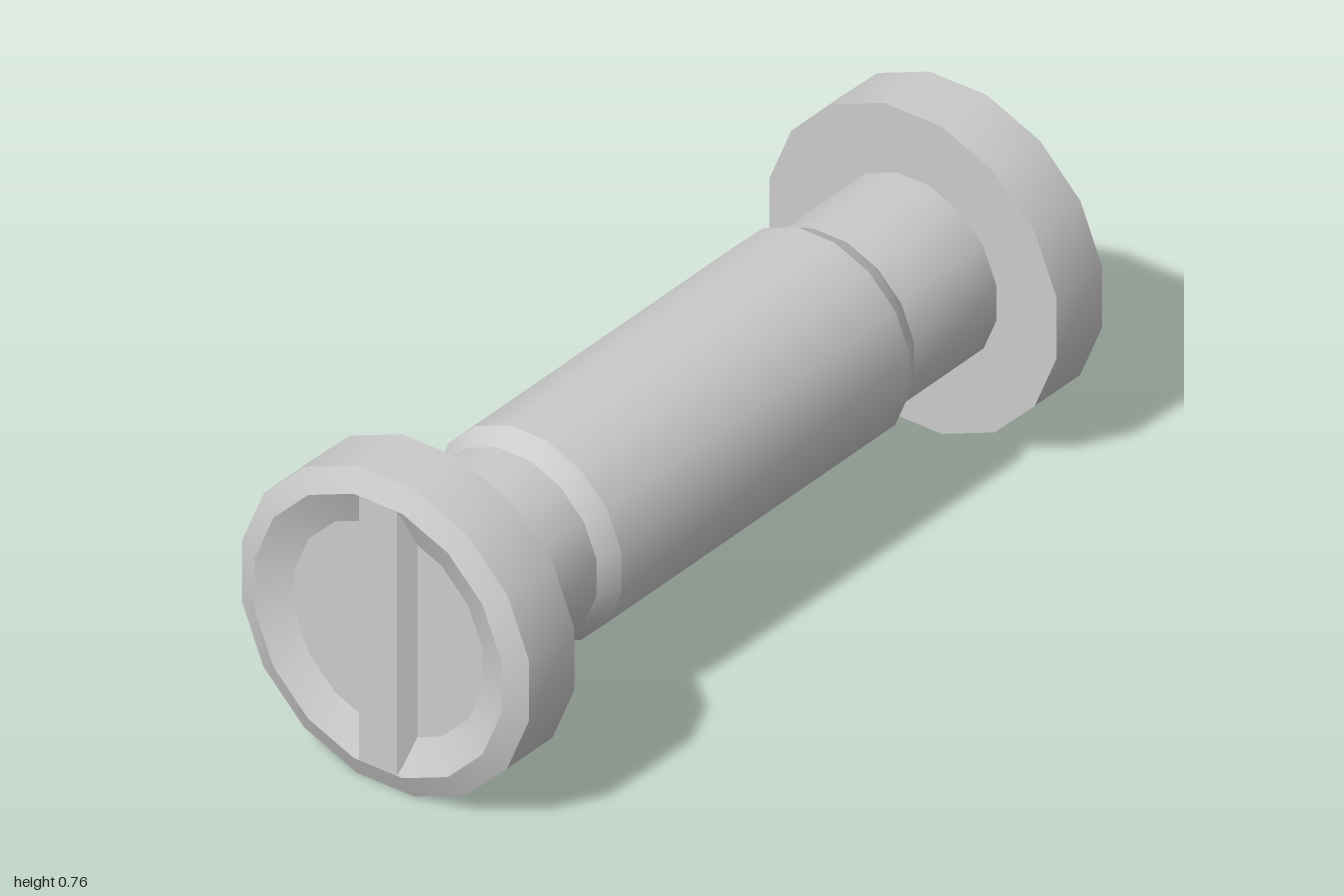
import * as THREE from 'three';
import { toCreasedNormals } from 'three/addons/utils/BufferGeometryUtils.js';

const SIDES = 16;
const FACE_X = 1;      // outer rim plane
const FLOOR_X = 0.965; // recess floor plane

// Sixteen-sided turned solid along x, flats up; profile is [radius, x] pairs
function turned(profile) {
  const points = profile.map(([r, x]) => new THREE.Vector2(r, x));
  const geometry = new THREE.LatheGeometry(points, SIDES, Math.PI / SIDES);
  geometry.rotateZ(-Math.PI / 2);
  return toCreasedNormals(geometry, 0.41);
}

// Tapered bar: narrow on the outer face, wider at the recess floor
function barGeometry() {
  const bottom = FLOOR_X - 0.01;
  const geometry = new THREE.BoxGeometry(1, 0.652, 1);
  const p = geometry.attributes.position;
  for (let i = 0; i < p.count; i++) {
    const outer = p.getX(i) > 0;
    p.setX(i, outer ? FACE_X : bottom);
    p.setZ(i, Math.sign(p.getZ(i)) * (outer ? 0.05 : 0.0847));
  }
  return toCreasedNormals(geometry, 0.41);
}

export function createModel() {
  const model = new THREE.Group();
  const material = new THREE.MeshStandardMaterial({ color: 0xcccccc });
  const add = (parent, name, geometry) => {
    const mesh = new THREE.Mesh(geometry, material);
    mesh.name = name;
    parent.add(mesh);
  };

  // Shaft with a thicker, bevelled middle
  add(model, 'shaft', turned([
    [0.225, -0.83], [0.225, -0.54], [0.2525, -0.49],
    [0.2525, 0.49], [0.225, 0.54], [0.225, 0.83],
  ]));

  // Bevelled heads with a dished face split by an upright bar
  const disc = turned([
    [0, 0.82], [0.3875, 0.82], [0.3875, 0.975],
    [0.333, FACE_X], [0.254, FLOOR_X], [0, FLOOR_X],
  ]);
  const bar = barGeometry();
  for (const [name, angle] of [['leftHead', 0], ['rightHead', Math.PI]]) {
    const head = new THREE.Group();
    head.name = name;
    head.rotation.y = angle;
    add(head, 'disc', disc);
    add(head, 'bar', bar);
    model.add(head);
  }

  model.children.forEach((part) => { part.position.y = 0.38; });
  return model;
}
